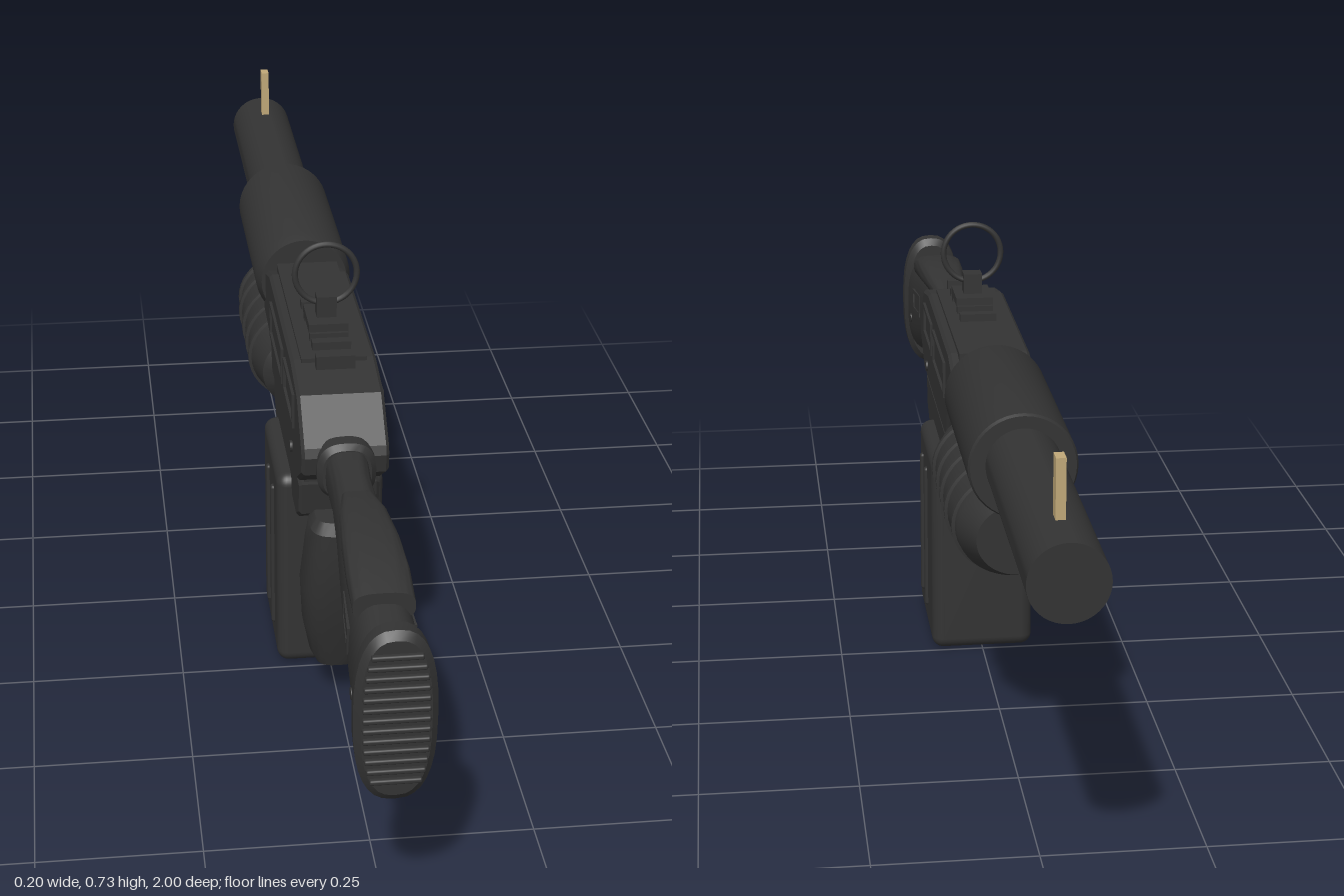
import * as THREE from 'three';
import { toCreasedNormals } from 'three/addons/utils/BufferGeometryUtils.js';
import { RoundedBoxGeometry } from 'three/addons/geometries/RoundedBoxGeometry.js';

const darkMetal = new THREE.MeshStandardMaterial({ color: 0x333333 });
darkMetal.name = 'dark metal';
const brass = new THREE.MeshStandardMaterial({ color: 0xc0a878 });
brass.name = 'pale brass';

export function createModel() {
  const model = new THREE.Group();
  model.name = 'toyBlaster';

  const add = (name, geo, x = 0, y = 0, z = 0, mat = darkMetal) => {
    const mesh = new THREE.Mesh(geo, mat);
    mesh.name = name;
    mesh.position.set(x, y, z);
    model.add(mesh);
    return mesh;
  };
  const box = (name, w, h, d, x, y, z, mat) => add(name, new THREE.BoxGeometry(w, h, d), x, y, z, mat);

  // Side profile of [z, y] points, extruded across x
  const slab = (points, halfWidth, bevel, hole) => {
    const shape = new THREE.Shape(points.map(p => new THREE.Vector2(...p)));
    if (hole) shape.holes.push(new THREE.Path(hole.map(p => new THREE.Vector2(...p))));
    const depth = 2 * (halfWidth - bevel);
    return new THREE.ExtrudeGeometry(shape, {
      depth, bevelEnabled: bevel > 0, bevelSize: bevel, bevelOffset: -bevel, bevelThickness: bevel, bevelSegments: 1,
    }).translate(0, 0, -depth / 2).rotateY(-Math.PI / 2);
  };

  // Closed skin over superellipse sections [t, centre, halfX, halfV];
  // t runs up z, or (vertical) down y
  const loft = (sections, power = 2, vertical = false, crease = 0.6) => {
    const n = 32, pos = [], idx = [];
    const first = sections[0], last = sections[sections.length - 1];
    const cap = s => [s[0], s[1], s[2] * 0.01, s[3] * 0.01];
    const all = [cap(first), ...sections, cap(last)];
    const bend = v => Math.sign(v) * Math.abs(v) ** (2 / power);
    all.forEach(([t, c, hx, hv], i) => {
      for (let j = 0; j < n; j++) {
        const a = (j / n) * Math.PI * 2;
        const x = hx * bend(Math.cos(a)), v = c + hv * bend(Math.sin(a));
        pos.push(x, vertical ? t : v, vertical ? v : t);
        if (i === all.length - 1) continue;
        const k = i * n + j, m = i * n + (j + 1) % n;
        idx.push(k, m, m + n, k, m + n, k + n);
      }
    });
    const geo = new THREE.BufferGeometry();
    geo.setAttribute('position', new THREE.Float32BufferAttribute(pos, 3));
    geo.setIndex(idx);
    return toCreasedNormals(geo, crease);
  };

  // Round part along z from [radius, z] points in rising z
  const turned = points => toCreasedNormals(
    new THREE.LatheGeometry(points.map(p => new THREE.Vector2(...p)), 40).rotateX(Math.PI / 2), 0.5);
  const flipZ = points => points.map(([r, z]) => [r, -z]).reverse();

  // Barrel, shroud and front sight
  add('barrel', turned([[0, -1], [0.057, -1], [0.057, -0.5], [0, -0.5]]), 0, 0.537, 0);
  add('barrelShroud', turned([[0, -0.54], [0.08, -0.54], [0.083, -0.535], [0.083, -0.185], [0.075, -0.16], [0, -0.16]]), 0, 0.533, 0);
  box('frontSight', 0.014, 0.095, 0.025, 0, 0.633, -0.905, brass);

  // Ribbed foregrip
  const grip = [[0, 0.05], [0.06, 0.05], [0.082, 0.075], [0.092, 0.13]];
  for (const z of [0.15, 0.215, 0.28, 0.35, 0.415]) {
    const r = z < 0.4 ? 0.096 : 0.091;
    grip.push([r, z - 0.006], [r + 0.005, z - 0.005], [r + 0.005, z + 0.005], [r, z + 0.006]);
  }
  grip.push([0.089, 0.44], [0.065, 0.49], [0, 0.49]);
  add('foregrip', turned(flipZ(grip)), 0, 0.398, 0).scale.y = 0.88;

  // Receiver, with a narrow slit above its lower half
  add('upperReceiver', slab([[0.435, 0.485], [0.43, 0.5], [0.365, 0.56], [0.27, 0.578], [-0.09, 0.576], [-0.19, 0.545],
    [-0.19, 0.47], [-0.07, 0.46], [-0.05, 0.411], [0.36, 0.411], [0.43, 0.455]], 0.068, 0.005));
  add('lowerReceiver', slab([[0.36, 0.402], [0.35, 0.345], [0.31, 0.32], [0, 0.32], [-0.055, 0.36], [-0.06, 0.402]], 0.064, 0.005));
  box('receiverJoint', 0.11, 0.03, 0.13, 0, 0.405, 0.285);
  box('topPlate', 0.104, 0.012, 0.4, 0, 0.577, 0.08);
  for (const z of [0.295, 0.24, 0.205, 0.125, 0.075]) box('railTooth', 0.062, 0.022, 0.018, 0, 0.585, z);

  // Framed panels and screws on both sides of the receiver
  const frame = (z0, z1, y0, y1) => {
    const rect = e => [[z0 + e, y0 + e], [z1 - e, y0 + e], [z1 - e, y1 - e], [z0 + e, y1 - e]];
    return slab(rect(0), 0.0035, 0, rect(0.008));
  };
  for (const side of [1, -1]) {
    add('rearPanelFrame', frame(0.185, 0.33, 0.487, 0.545), side * 0.069);
    add('frontPanelFrame', frame(-0.045, 0.155, 0.483, 0.545), side * 0.069);
    box('panelInset', 0.006, 0.03, 0.16, side * 0.067, 0.514, 0.055);
    for (const [y, z, x] of [[0.437, 0.29, 0.068], [0.355, 0.895, 0.046]])
      add('screw', new THREE.CylinderGeometry(0.009, 0.009, 0.008, 16).rotateZ(Math.PI / 2), side * x, y, z);
  }

  // Ring sight
  box('sightBase', 0.064, 0.014, 0.085, 0, 0.602, 0.165);
  box('sightPost', 0.032, 0.038, 0.03, 0, 0.625, 0.165);
  add('sightRing', new THREE.TorusGeometry(0.05, 0.005, 10, 48), 0, 0.679, 0.165);

  // Magazine with upright ribs
  add('magazine', new RoundedBoxGeometry(0.176, 0.355, 0.24, 4, 0.02), 0, 0.1775, 0.12);
  for (const side of [1, -1]) for (const z of [0.175, 0.1])
    add('magazineRib', new RoundedBoxGeometry(0.016, 0.262, 0.014, 2, 0.005), side * 0.0855, 0.178, z);

  // Pistol grip and trigger bar
  add('pistolGrip', loft([[0.352, 0.365, 0.04, 0.035], [0.338, 0.368, 0.05, 0.052], [0.3, 0.358, 0.054, 0.06],
    [0.22, 0.345, 0.061, 0.065], [0.14, 0.326, 0.056, 0.058], [0.085, 0.316, 0.045, 0.051], [0.066, 0.316, 0.036, 0.044]], 3, true));
  box('triggerBar', 0.04, 0.014, 0.09, 0, 0.263, 0.27);

  // Shoulder stock
  add('stockCollar', loft([[0.42, 0.467, 0.046, 0.047], [0.445, 0.467, 0.046, 0.047], [0.455, 0.465, 0.038, 0.041]], 2.6));
  add('stock', loft([[0.44, 0.465, 0.034, 0.04], [0.52, 0.458, 0.031, 0.045], [0.6, 0.445, 0.034, 0.058],
    [0.7, 0.422, 0.04, 0.077], [0.8, 0.398, 0.045, 0.089], [0.88, 0.38, 0.048, 0.095], [0.96, 0.367, 0.05, 0.101]], 2.8));
  add('cheekRest', loft([[0.575, 0.488, 0.024, 0.014], [0.64, 0.494, 0.035, 0.019], [0.72, 0.492, 0.042, 0.023],
    [0.8, 0.485, 0.045, 0.026], [0.865, 0.472, 0.044, 0.022]], 3));
  for (const side of [1, -1]) {
    const slot = add('stockSlot', frame(-0.045, 0.045, -0.022, 0.022), side * 0.043, 0.412, 0.8);
    slot.rotation.set(0.1, side * 0.06, 0);
  }

  // Butt pad with grip ridges
  add('buttPad', loft([[0.948, 0.373, 0.047, 0.12], [0.96, 0.373, 0.057, 0.133], [0.984, 0.373, 0.058, 0.134],
    [0.993, 0.373, 0.049, 0.122]], 2.6));
  for (let i = 0; i < 13; i++) {
    const y = 0.276 + i * 0.0163;
    const w = 0.094 * (1 - Math.abs((y - 0.373) / 0.128) ** 2.6) ** (1 / 2.6);
    add('padRidge', new RoundedBoxGeometry(w, 0.008, 0.014, 2, 0.003), 0, y, 0.993);
  }
  return model;
}
